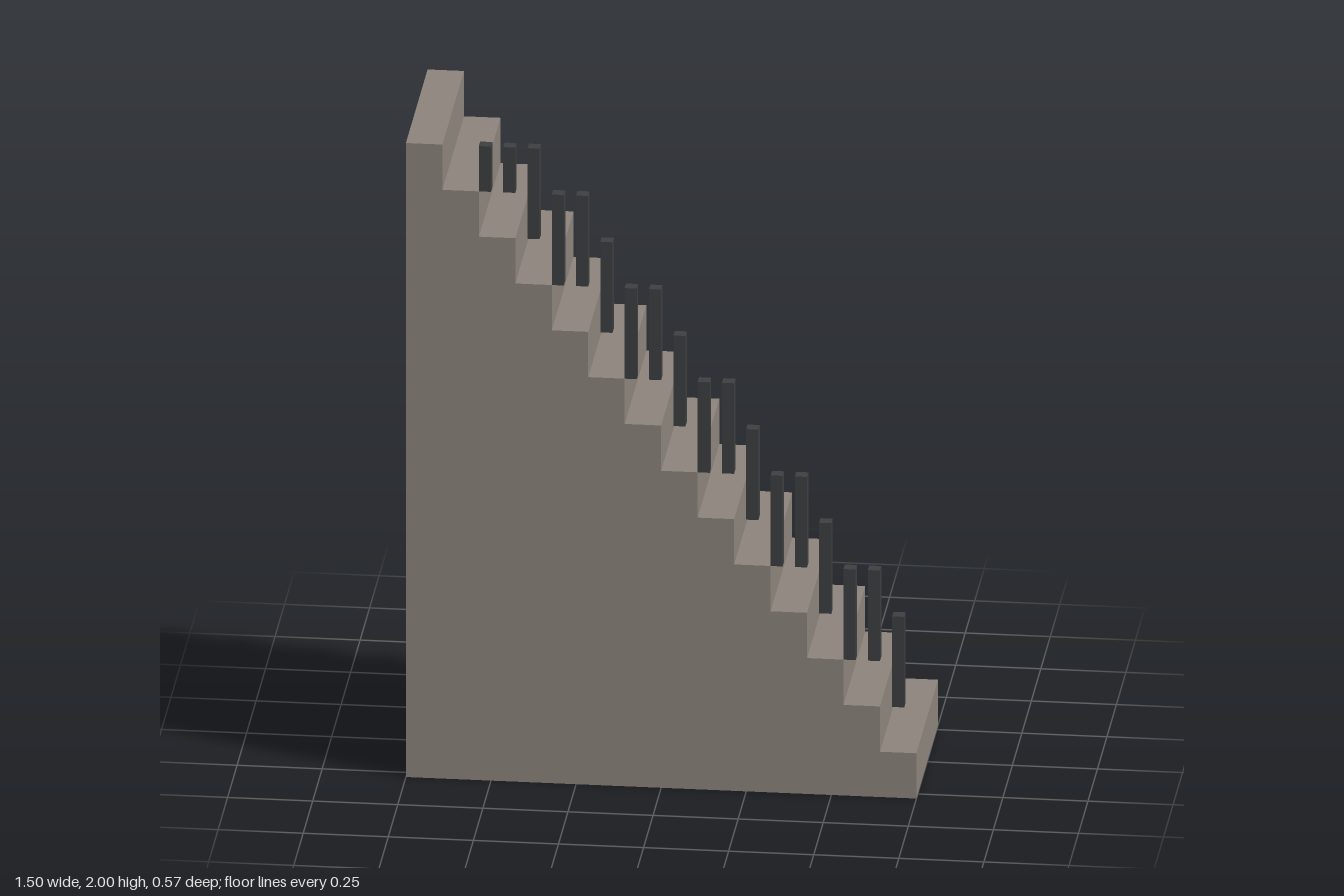
import * as THREE from 'three';

export function createModel() {
  const group = new THREE.Group();
  group.name = 'staircase';
  const stone = new THREE.MeshStandardMaterial({ color: 0x8c847b });
  stone.name = 'stone';
  const iron = new THREE.MeshStandardMaterial({ color: 0x3d3e40 });
  iron.name = 'dark iron';

  const steps = 14, rise = 2 / steps, tread = 1.5 / steps, depth = 4 / 7;

  // Solid flight: stepped side profile extruded across the width
  const profile = new THREE.Shape();
  profile.moveTo(-0.75, 0);
  profile.lineTo(0.75, 0);
  for (let i = 0; i < steps; i++) {
    profile.lineTo(0.75 - i * tread, (i + 1) * rise);
    profile.lineTo(0.75 - (i + 1) * tread, (i + 1) * rise);
  }
  const flight = new THREE.Mesh(
    new THREE.ExtrudeGeometry(profile, { depth, bevelEnabled: false }), stone);
  flight.name = 'steps';
  flight.position.z = -depth / 2;
  group.add(flight);

  // Railing: three balusters per two treads, snapped to step levels, clipped at the top
  const railing = new THREE.Group();
  railing.name = 'railing';
  const bar = 1 / 28;
  for (let k = 0; k < 18; k++) {
    const bottom = (2 + Math.floor((2 * k + 1) / 3)) * rise;
    const top = Math.min(bottom + 2 * rise, 2);
    const baluster = new THREE.Mesh(new THREE.BoxGeometry(bar, top - bottom, bar), iron);
    baluster.name = 'baluster';
    baluster.position.set(0.75 - tread / 2 - k * tread * 2 / 3, (bottom + top) / 2, depth / 2 - bar / 2);
    railing.add(baluster);
  }
  group.add(railing);
  return group;
}
